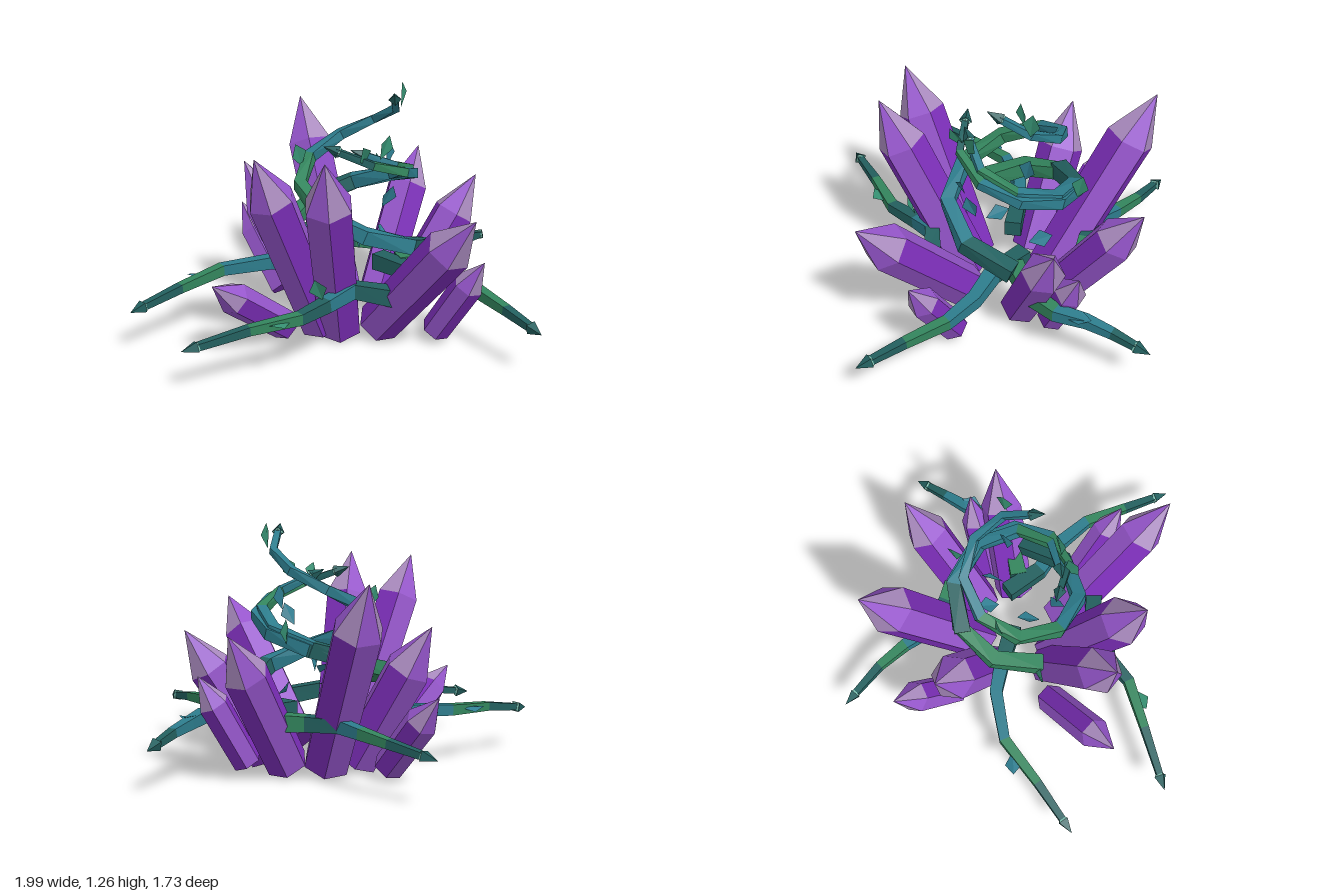
import * as THREE from 'three';

const mat = (name, color, side = THREE.FrontSide) => {
  const m = new THREE.MeshStandardMaterial({ color, flatShading: true, side });
  m.name = name;
  return m;
};
const violet = mat('violet', 0x7d2fba);
const purple = mat('purple', 0x9656cc);
const lilac = mat('lilac tip', 0xa98abe);
const teal = mat('teal', 0x2d7c8c);
const green = mat('green', 0x33855d);
const deepTeal = mat('deep teal', 0x23605f);
const mint = mat('pale mint', 0x7fc4b4);
const leafGreen = mat('leaf green', 0x369072, THREE.DoubleSide);
const leafTeal = mat('leaf teal', 0x2f7f92, THREE.DoubleSide);

const V = (p) => new THREE.Vector3(...p);
const UP = new THREE.Vector3(0, 1, 0);

// Six-sided crystal: prism plus pointed cap, laid from base to tip
function crystal(base, tip, r) {
  const g = new THREE.Group();
  g.name = 'crystal';
  const axis = V(tip).sub(V(base));
  const len = axis.length();
  const cap = r * 2.1;
  const bodyGeo = new THREE.CylinderGeometry(r, r * 0.95, len - cap, 6);
  const total = bodyGeo.index.count;
  bodyGeo.clearGroups();
  for (let i = 0; i < 6; i++) bodyGeo.addGroup(i * 6, 6, i % 2);
  bodyGeo.addGroup(36, total - 36, 0);
  const body = new THREE.Mesh(bodyGeo, [violet, purple]);
  body.name = 'crystalBody';
  body.position.y = (len - cap) / 2;
  // facets of the cap alternate in colour like the prism below
  const capGeo = new THREE.ConeGeometry(r, cap, 6, 1, true);
  const perFace = capGeo.index.count / 6;
  capGeo.clearGroups();
  for (let i = 0; i < 6; i++) capGeo.addGroup(i * perFace, perFace, i % 2);
  const point = new THREE.Mesh(capGeo, [lilac, purple]);
  point.name = 'crystalTip';
  point.position.y = len - cap / 2;
  g.add(body, point);
  g.position.set(...base);
  g.quaternion.setFromUnitVectors(UP, axis.normalize());
  return g;
}

// Tapering square vine through the points; one colour letter (d, t, g) per segment
function vine(name, colours, pts, r0, r1) {
  const N = 4;
  const P = pts.map(V);
  const last = P.length - 1;
  const pos = [];
  const tangent = (i) => P[Math.min(i + 1, last)].clone().sub(P[Math.max(i - 1, 0)]).normalize();
  P.forEach((p, i) => {
    const t = tangent(i);
    const s = UP.clone().cross(t).normalize();
    const n = t.clone().cross(s);
    const r = r0 + (r1 - r0) * (i / last);
    for (let j = 0; j < N; j++) {
      const a = ((j + 0.5) / N) * Math.PI * 2;
      const v = p.clone().addScaledVector(s, r * Math.cos(a)).addScaledVector(n, r * Math.sin(a));
      pos.push(v.x, v.y, v.z);
    }
  });
  const idx = [];
  const geo = new THREE.BufferGeometry();
  for (let i = 0; i < last; i++) {
    geo.addGroup(idx.length, N * 6, 'dtg'.indexOf(colours[i]));
    for (let j = 0; j < N; j++) {
      const k = (j + 1) % N;
      const a = i * N + j, b = i * N + k, c = (i + 1) * N + k, d = (i + 1) * N + j;
      idx.push(a, b, c, a, c, d);
    }
  }
  // closed starting end
  geo.addGroup(idx.length, 6, 0);
  idx.push(0, 2, 1, 0, 3, 2);
  geo.setAttribute('position', new THREE.Float32BufferAttribute(pos, 3));
  geo.setIndex(idx);
  geo.computeVertexNormals();
  const g = new THREE.Group();
  g.name = name;
  const stem = new THREE.Mesh(geo, [deepTeal, teal, green]);
  stem.name = 'stem';
  g.add(stem);
  // barbed end with a small pale collar
  const t = tangent(last);
  const end = (part, geometry, material, offset) => {
    const m = new THREE.Mesh(geometry, material);
    m.name = part;
    m.position.copy(P[last]).addScaledVector(t, offset);
    m.quaternion.setFromUnitVectors(UP, t);
    g.add(m);
  };
  end('barb', new THREE.ConeGeometry(r1 * 1.5, 0.08, 4), deepTeal, 0.027);
  end('collar', new THREE.CylinderGeometry(r1 * 1.4, r1 * 1.1, 0.012, 4), mint, -0.016);
  return g;
}

// Points of a climbing coil; angle 0 is +x, 90 is the front
function coil(a0, a1, y0, y1, r0, r1) {
  const n = Math.round((a1 - a0) / 42);
  return Array.from({ length: n + 1 }, (_, i) => {
    const k = i / n;
    const a = ((a0 + (a1 - a0) * k) * Math.PI) / 180;
    const r = r0 + (r1 - r0) * k;
    return [0.13 + r * Math.cos(a), y0 + (y1 - y0) * k, -0.04 + r * Math.sin(a)];
  });
}

// Folded kite-shaped leaf
const leafGeo = new THREE.BufferGeometry();
leafGeo.setAttribute('position', new THREE.Float32BufferAttribute(
  [0, 0, 0, 0.045, 0.075, 0.012, 0, 0.13, 0, -0.045, 0.075, 0.012], 3));
leafGeo.setIndex([0, 1, 2, 0, 2, 3]);
leafGeo.computeVertexNormals();

export function createModel() {
  const model = new THREE.Group();
  model.name = 'crystalCluster';

  // base, tip, radius
  [
    [[0.06, 0.06, -0.24], [-0.16, 1.02, -0.77], 0.13],
    [[0.26, 0.06, -0.25], [0.5, 0.76, -0.67], 0.115],
    [[-0.25, 0.06, -0.31], [-0.49, 0.46, -0.59], 0.085],
    [[-0.09, 0.06, -0.15], [-0.46, 0.77, -0.36], 0.12],
    [[0.37, 0.06, -0.08], [0.77, 0.73, -0.23], 0.11],
    [[0.24, 0.07, 0.2], [0.66, 0.8, 0.7], 0.12],
    [[0.04, 0.05, 0.19], [-0.04, 1.06, 0.63], 0.125],
    [[-0.05, 0.06, 0.17], [-0.37, 1.05, 0.52], 0.12],
    [[-0.24, 0.06, 0.2], [-0.58, 0.43, 0.57], 0.085],
    [[0.53, 0.06, 0.26], [0.74, 0.5, 0.46], 0.08],
    [[0.46, 0.06, -0.24], [0.69, 0.52, -0.36], 0.08],
  ].forEach((c) => model.add(crystal(...c)));

  // low vines reaching outward
  [
    ['dttgd', [[0.05, 0.3, -0.04], [-0.15, 0.3, -0.07], [-0.32, 0.3, -0.08], [-0.57, 0.29, 0], [-0.77, 0.27, 0.2], [-0.95, 0.235, 0.365]]],
    ['dtdgd', [[0.3, 0.29, 0.37], [0.1, 0.33, 0.38], [-0.03, 0.29, 0.47], [-0.16, 0.28, 0.61], [-0.4, 0.27, 0.72], [-0.65, 0.235, 0.835]]],
    ['dttgd', [[0.25, 0.3, -0.1], [0.4, 0.3, 0.06], [0.58, 0.29, 0.15], [0.73, 0.28, 0.28], [0.85, 0.26, 0.48], [0.955, 0.235, 0.65]]],
    ['ggttd', [[0.35, 0.3, -0.05], [0.55, 0.3, -0.12], [0.68, 0.3, -0.25], [0.73, 0.29, -0.4], [0.79, 0.27, -0.52], [0.855, 0.235, -0.645]]],
    ['gdtgd', [[0.35, 0.3, -0.38], [0.15, 0.3, -0.42], [-0.02, 0.3, -0.48], [-0.12, 0.29, -0.6], [-0.25, 0.27, -0.72], [-0.42, 0.235, -0.835]]],
  ].forEach(([c, p]) => model.add(vine('groundVine', c, p, 0.062, 0.024)));

  // coiling vines
  [
    ['dttggtttt', [0, 380, 0.4, 1.21, 0.37, 0.2]],
    ['ggdtttgd', [150, 475, 0.45, 0.99, 0.36, 0.26]],
    ['dttgt', [225, 445, 0.58, 0.97, 0.34, 0.22]],
  ].forEach(([c, k]) => model.add(vine('coilVine', c, coil(...k), 0.06, 0.022)));

  // leaves: position, rotation, material
  [
    [[0.36, 1.13, -0.12], [0, 1.2, -0.1], leafGreen],
    [[0.24, 0.94, 0.18], [0.1, 0.7, -0.5], leafGreen],
    [[0.16, 0.92, 0.2], [0.5, 0.9, 0.1], leafGreen],
    [[0.29, 0.82, -0.1], [0, 1, -0.2], leafTeal],
    [[0.25, 0.7, 0.2], [0.4, 0.5, -0.5], leafTeal],
    [[-0.15, 0.82, -0.1], [0, 0.6, 0.3], leafGreen],
    [[0.25, 0.68, -0.36], [-0.2, 1.2, 0], leafGreen],
    [[-0.2, 0.42, 0.1], [0.2, 0.5, 0.9], leafGreen],
    [[0.14, 0.46, 0.15], [0.2, 1.2, 0.2], leafTeal],
    [[0.1, 0.5, -0.12], [-1.1, 0.2, 0.4], leafTeal],
    [[0.08, 0.4, 0.1], [-1.3, 0.6, 0.2], leafTeal],
    [[0.27, 0.4, -0.12], [-1.2, 0.9, 0], leafTeal],
    [[-0.62, 0.29, 0.05], [1.4, 0, 1.4], leafTeal],
    [[-0.2, 0.28, 0.64], [1.45, 0, 0.9], leafGreen],
    [[0.72, 0.3, -0.3], [-1.4, 0, -0.3], leafTeal],
    [[-0.05, 0.32, 0.48], [0.3, 0, 0.3], leafGreen],
  ].forEach(([p, r, m]) => {
    const leaf = new THREE.Mesh(leafGeo, m);
    leaf.name = 'leaf';
    leaf.position.set(...p);
    leaf.rotation.set(...r);
    model.add(leaf);
  });

  return model;
}
